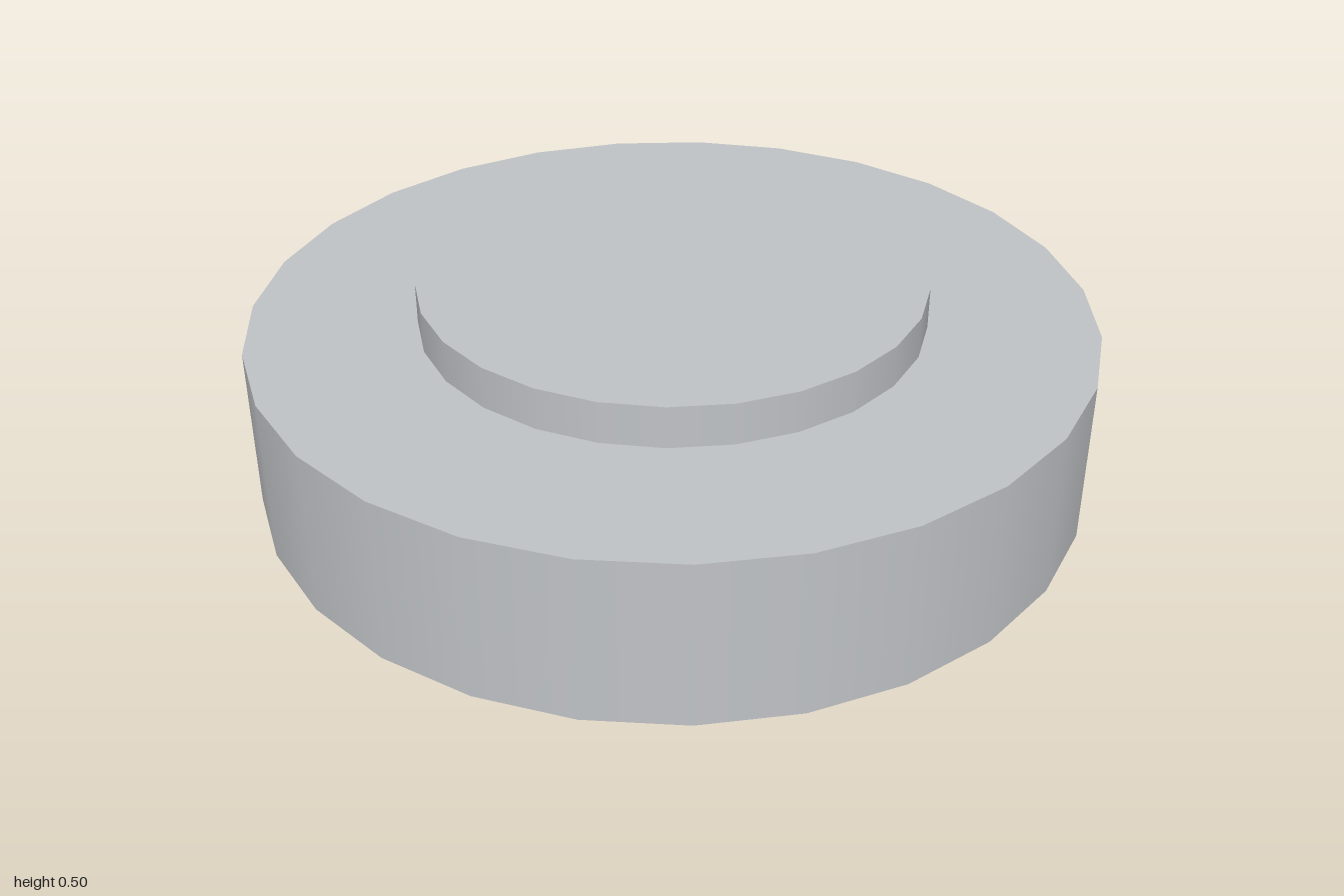
import * as THREE from 'three';
import { mergeGeometries } from 'three/addons/utils/BufferGeometryUtils.js';

const SIDES = 27, STEP_SIDES = 26;
const BASE_H = 0.4, STEP_R = 0.6, STEP_H = 0.1;
const HOLE_R = 0.05, HOLE_Y = 0.2, HOLE_DEPTH = 0.2, HOLE_SIDES = 24;
const ANGLE = (Math.PI * 2) / SIDES;

const polygon = (r, n) => Array.from({ length: n }, (_, i) => {
  const a = (i / n) * Math.PI * 2;
  return new THREE.Vector2(r * Math.cos(a), r * Math.sin(a));
});

// Flat panel in (angle, height), optionally pierced, then bent round the unit cylinder
function wallPanel(angles, holeAngle) {
  const shape = new THREE.Shape([
    ...angles.map(a => new THREE.Vector2(a, 0)),
    ...[...angles].reverse().map(a => new THREE.Vector2(a, BASE_H)),
  ]);
  if (holeAngle !== undefined) {
    shape.holes.push(new THREE.Path(polygon(HOLE_R, HOLE_SIDES).map(
      p => new THREE.Vector2(holeAngle + Math.asin(p.x), HOLE_Y + p.y))));
  }
  const geometry = new THREE.ShapeGeometry(shape);
  const { position, normal } = geometry.attributes;
  for (let i = 0; i < position.count; i++) {
    const a = position.getX(i), c = Math.cos(a), s = -Math.sin(a);
    position.setXYZ(i, c, position.getY(i), s);
    normal.setXYZ(i, c, 0, s);
  }
  return geometry;
}

export function createModel() {
  const model = new THREE.Group();
  const metal = new THREE.MeshStandardMaterial({ color: 0xc0c3c6 });
  metal.name = 'light grey metal';
  const add = (name, geometry, parent = model) => {
    const mesh = new THREE.Mesh(geometry, metal);
    mesh.name = name;
    parent.add(mesh);
    return mesh;
  };

  // Base wall: pierced panels at +x and -x, plain panels between
  const panels = [
    wallPanel([-ANGLE, 0, ANGLE], 0),
    wallPanel([13 * ANGLE, 14 * ANGLE], Math.PI),
  ];
  for (let i = 1; i < SIDES - 1; i++) {
    if (i !== 13) panels.push(wallPanel([i * ANGLE, (i + 1) * ANGLE]));
  }
  add('baseWall', mergeGeometries(panels));

  // Base underside and ring-shaped top
  add('baseUnderside', new THREE.CircleGeometry(1, SIDES).rotateX(Math.PI / 2));
  const ring = new THREE.Shape(polygon(1, SIDES));
  ring.holes.push(new THREE.Path(polygon(STEP_R, STEP_SIDES)));
  add('baseTop', new THREE.ShapeGeometry(ring).rotateX(-Math.PI / 2)).position.y = BASE_H;

  // Raised disc
  add('raisedDiscWall', new THREE.CylinderGeometry(
    STEP_R, STEP_R, STEP_H, STEP_SIDES, 1, true, Math.PI / 2)).position.y = BASE_H + STEP_H / 2;
  add('raisedDiscTop', new THREE.CircleGeometry(STEP_R, STEP_SIDES)
    .rotateX(-Math.PI / 2)).position.y = BASE_H + STEP_H;

  // Blind side holes, each with a rim that follows the curved wall
  for (const [name, turn] of [['leftHole', 0], ['rightHole', Math.PI]]) {
    const hole = new THREE.Group();
    hole.name = name;
    const floorX = 1 - HOLE_DEPTH;
    const bore = new THREE.LatheGeometry(
      [new THREE.Vector2(HOLE_R, 1), new THREE.Vector2(HOLE_R, floorX)], HOLE_SIDES)
      .rotateZ(-Math.PI / 2);
    const p = bore.attributes.position;
    for (let i = 0; i < p.count; i++) {
      if (p.getX(i) > 0.95) p.setX(i, Math.sqrt(1 - p.getZ(i) ** 2));
    }
    add(name + 'Bore', bore, hole);
    add(name + 'Floor', new THREE.CircleGeometry(HOLE_R, HOLE_SIDES)
      .rotateY(Math.PI / 2), hole).position.x = floorX;
    hole.position.y = HOLE_Y;
    hole.rotation.y = turn;
    model.add(hole);
  }
  return model;
}
